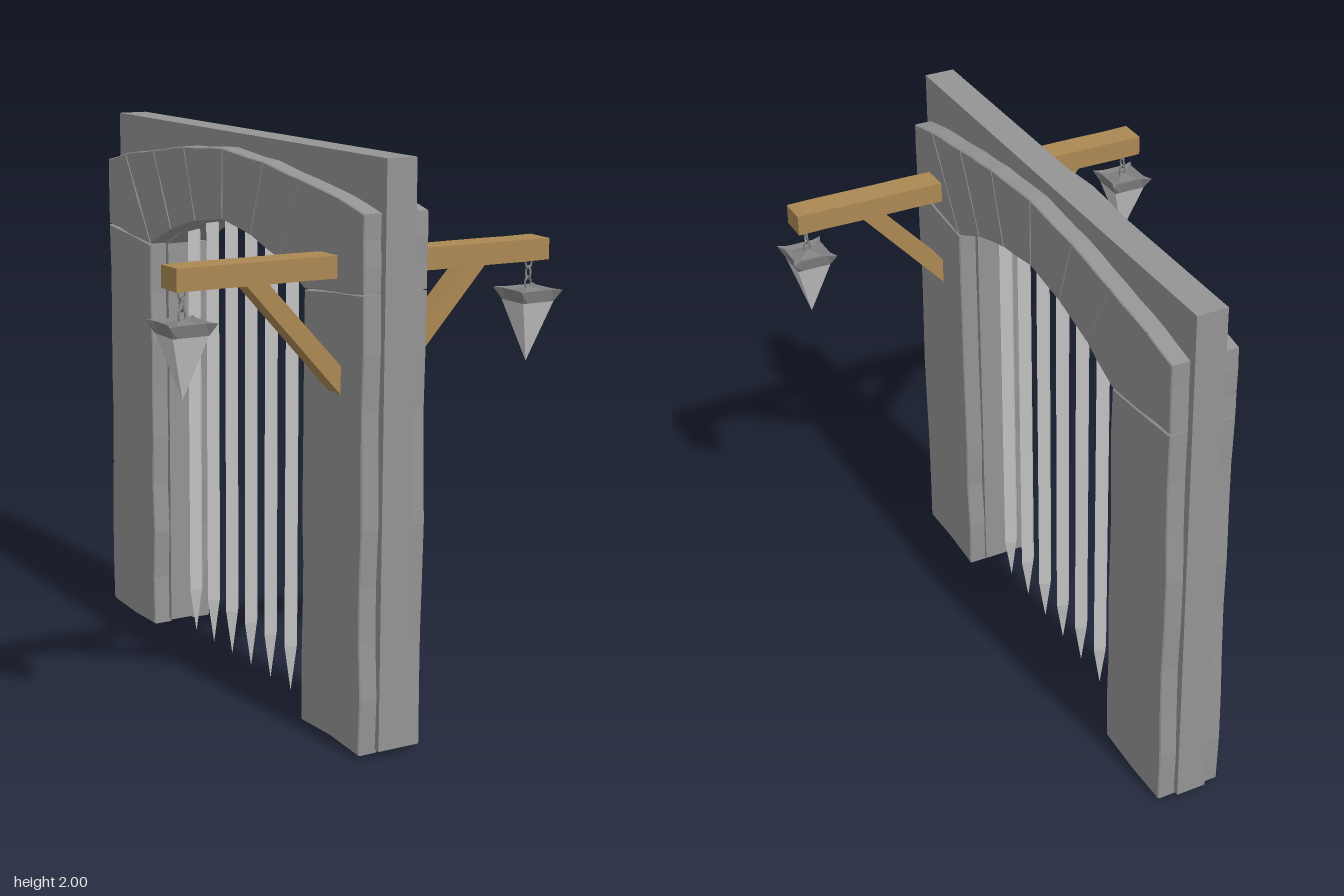
import * as THREE from 'three';

const MID_X = 0.015; // centre plane of the wall
const metal = new THREE.MeshStandardMaterial({ color: 0xcccccc, flatShading: true });
const stone = new THREE.MeshStandardMaterial({ color: 0x949494, flatShading: true });
const iron = new THREE.MeshStandardMaterial({ color: 0x808080, flatShading: true });
const wood = new THREE.MeshStandardMaterial({ color: 0xab8853, flatShading: true });

// small seeded noise in -1..1
let seed = 7;
function noise() {
  seed = (seed * 16807) % 2147483647;
  return (seed / 2147483647) * 2 - 1;
}

function add(parent, name, geometry, material) {
  const mesh = new THREE.Mesh(geometry, material);
  mesh.name = name;
  parent.add(mesh);
  return mesh;
}

// extrude a [z, y] outline along x, from x0 to x1
function slab(points, x0, x1, bevel = 0) {
  const shape = new THREE.Shape(points.map(([z, y]) => new THREE.Vector2(z, y)));
  const geo = new THREE.ExtrudeGeometry(shape, {
    depth: x1 - x0 - 2 * bevel, bevelEnabled: bevel > 0, bevelSegments: 1,
    bevelThickness: bevel, bevelSize: bevel, bevelOffset: -bevel,
  });
  geo.rotateY(-Math.PI / 2);
  geo.translate(x1 - bevel, 0, 0);
  return geo;
}

// split each edge of an outline and push the new points in or out a little
function roughen(points, step, amount) {
  const out = [];
  points.forEach((a, i) => {
    const b = points[(i + 1) % points.length];
    const len = Math.hypot(b[0] - a[0], b[1] - a[1]);
    const n = Math.max(1, Math.round(len / step));
    out.push(a);
    for (let k = 1; k < n; k++) {
      const t = k / n, d = noise() * amount;
      out.push([
        a[0] + (b[0] - a[0]) * t + (b[1] - a[1]) / len * d,
        a[1] + (b[1] - a[1]) * t - (b[0] - a[0]) / len * d,
      ]);
    }
  });
  return out;
}

// arch joints, from the outer corner to the crown
const outer = [[0.8, 1.86], [0.555, 1.895], [0.3, 1.93], [0, 1.95]];
const inner = [[0.585, 1.535], [0.41, 1.612], [0.21, 1.667], [0, 1.697]];

function buildWall() {
  const wall = new THREE.Group();
  wall.name = 'wall';
  const half = [[0.565, 0.027], [0.565, 1.535], ...inner.slice(1, 3)];
  const opening = [...half, inner[3], ...half.map(([z, y]) => [-z, y]).reverse()];
  const core = [[-0.985, 0.027], [-0.985, 2], [0.985, 2], [0.985, 0.027], ...opening];
  add(wall, 'wallCore', slab(core, -0.04, 0.072), stone);

  // facing stones on both faces and both sides of the opening
  const pillar = [[0.58, 0.015], [0.96, 0.015], [0.958, 1.567], [0.585, 1.532]];
  const stones = [[[0.958, 1.57], [0.957, 1.825], outer[0], inner[0]]];
  for (let i = 0; i < 3; i++) stones.push([outer[i], outer[i + 1], inner[i + 1], inner[i]]);

  for (const side of [1, -1]) {
    const flip = (pts) => pts.map(([z, y]) => [z * side, y]);
    for (const [x0, x1] of [[-0.105, -0.03], [0.06, 0.137]]) {
      add(wall, 'pillarFacing', slab(flip(roughen(pillar, 0.2, 0.009)), x0, x1, 0.004), stone);
      for (const s of stones) {
        add(wall, 'archStone', slab(flip(roughen(s, 0.09, 0.003)), x0, x1, 0.004), stone);
      }
    }
  }
  return wall;
}

function buildBars() {
  const bars = new THREE.Group();
  bars.name = 'portcullis';
  for (let i = -3; i <= 3; i++) {
    const top = 1.73 - Math.abs(i) * 0.022;
    const shaft = new THREE.CylinderGeometry(0.031, 0.031, top - 0.18, 4, 1, true);
    const tip = new THREE.CylinderGeometry(0.031, 0, 0.175, 4, 1, true);
    shaft.translate(0, (top + 0.18) / 2, 0);
    tip.translate(0, 0.0925, 0);
    for (const [name, geo] of [['bar', shaft], ['barSpike', tip]]) {
      const mesh = add(bars, name, geo, metal);
      mesh.rotation.y = 0.23;
      mesh.position.set(MID_X, 0, i * 0.15 - 0.003);
    }
  }
  return bars;
}

// skin square sections [y, corner half width, side half width] from bottom to top
function squareLoft(sections) {
  const quarter = [[1, 1], [1, 0.7], [1, -0.7]];
  const pos = [], index = [];
  for (const [y, corner, side] of sections) {
    for (let q = 0; q < 4; q++) {
      for (const [a, b] of quarter) {
        const r = a === b ? corner : side;
        const c = Math.round(Math.cos(q * Math.PI / 2)), s = Math.round(Math.sin(q * Math.PI / 2));
        pos.push(r * (a * c + b * s), y, r * (b * c - a * s));
      }
    }
  }
  for (let r = 0; r < sections.length - 1; r++) {
    for (let k = 0; k < 12; k++) {
      const a = r * 12 + k, b = r * 12 + (k + 1) % 12;
      index.push(a, b, a + 12, b, b + 12, a + 12);
    }
  }
  const geo = new THREE.BufferGeometry();
  geo.setAttribute('position', new THREE.Float32BufferAttribute(pos, 3));
  geo.setIndex(index);
  geo.computeVertexNormals();
  return geo;
}

// beam, brace, chain and lantern, pointing along +x
function buildBracket(name) {
  const bracket = new THREE.Group();
  bracket.name = name;

  // hewn beam: each inner cross-section is squeezed a little
  const beam = new THREE.BoxGeometry(0.575, 0.076, 0.11, 5, 1, 1);
  const p = beam.attributes.position;
  for (let i = 0; i < p.count; i++) {
    const k = 1 - 0.05 * (1 + Math.sin(p.getX(i) * 25 + p.getZ(i) * 30)) / 2;
    p.setXYZ(i, p.getX(i), p.getY(i) * k, p.getZ(i) * k);
  }
  beam.translate(0.4175, 1.645, 0);
  add(bracket, 'beam', beam, wood);

  const side = new THREE.Shape([[0.46, 1.615], [0.38, 1.615], [0.09, 1.3], [0.09, 1.205]]
    .map(([x, y]) => new THREE.Vector2(x, y)));
  const brace = new THREE.ExtrudeGeometry(side, { depth: 0.08, bevelEnabled: false });
  brace.translate(0, 0, -0.04);
  add(bracket, 'brace', brace, wood);

  for (let i = 0; i < 3; i++) {
    const link = new THREE.TorusGeometry(0.015, 0.004, 5, 10);
    link.scale(0.85, 1.4, 1);
    link.rotateY(i % 2 ? Math.PI / 2 : 0);
    link.translate(0.66, 1.596 - i * 0.036, 0);
    add(bracket, 'chainLink', link, iron);
  }

  // pale spike under a dark lid with flared corners
  const spike = squareLoft([[1.255, 0.0005, 0.0005], [1.465, 0.063, 0.063]]);
  const lid = squareLoft([[1.465, 0.063, 0.063], [1.506, 0.085, 0.07], [1.498, 0.045, 0.045], [1.513, 0.0005, 0.0005]]);
  add(bracket, 'lanternSpike', spike, metal).position.x = 0.66;
  add(bracket, 'lanternLid', lid, iron).position.x = 0.66;
  bracket.position.z = 0.785;
  return bracket;
}

export function createModel() {
  const model = new THREE.Group();
  model.name = 'gate';
  const left = buildBracket('leftBracket');
  const right = buildBracket('rightBracket');
  right.rotation.y = Math.PI;
  model.add(buildWall(), buildBars(), left, right);
  return model;
}
